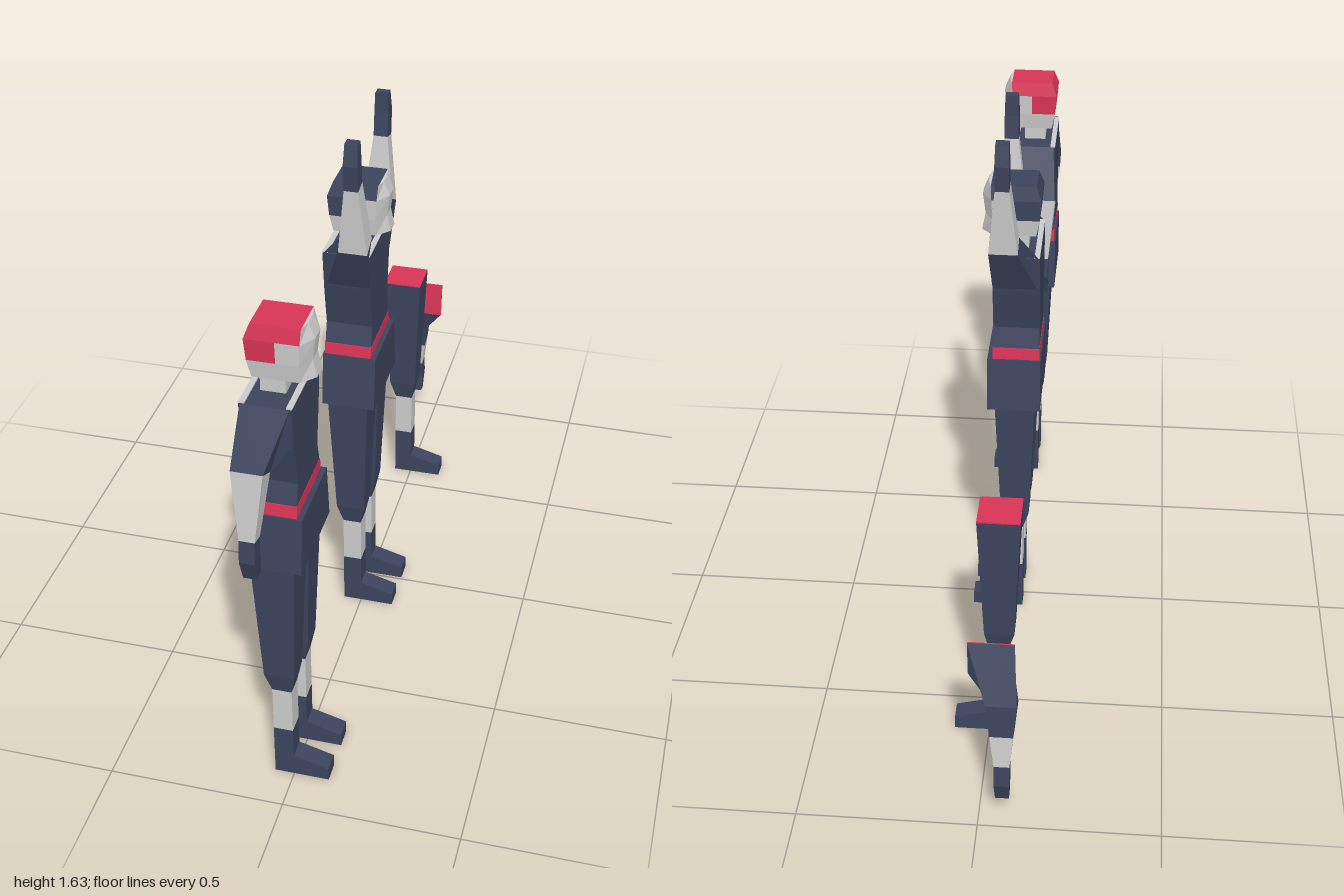
import * as THREE from 'three';

const paint = (name, color) => {
  const m = new THREE.MeshStandardMaterial({ color });
  m.name = name;
  return m;
};

// Closed flat-faced solid through rings of equal point count
function loft(rings) {
  const n = rings[0].length, tris = [];
  for (let i = 0; i + 1 < rings.length; i++) {
    for (let j = 0; j < n; j++) {
      const k = (j + 1) % n, a = rings[i], b = rings[i + 1];
      tris.push([a[j], a[k], b[k]], [a[j], b[k], b[j]]);
    }
  }
  const first = rings[0], last = rings[rings.length - 1];
  for (let j = 1; j + 1 < n; j++) {
    tris.push([first[0], first[j + 1], first[j]], [last[0], last[j], last[j + 1]]);
  }
  // Turn all faces outward, whichever way the rings run
  let volume = 0;
  for (const [a, b, c] of tris) {
    volume += new THREE.Vector3(...a).dot(new THREE.Vector3(...b).cross(new THREE.Vector3(...c)));
  }
  if (volume < 0) tris.forEach(t => t.reverse());
  const g = new THREE.BufferGeometry();
  g.setAttribute('position', new THREE.Float32BufferAttribute(tris.flat(2), 3));
  g.computeVertexNormals();
  return g;
}

// Level rectangle
const rect = (y, x0, x1, z0, z1) => [[x0, y, z0], [x1, y, z0], [x1, y, z1], [x0, y, z1]];
// Rectangle slanted in the y-z plane, used along an arm
const slant = ([zA, yA, zB, yB, x0, x1], s) =>
  [[x0, yA, zA * s], [x1, yA, zA * s], [x1, yB, zB * s], [x0, yB, zB * s]];
const mixRow = (a, b, t) => a.map((v, i) => v + (b[i] - v) * t);

// Arm rows: shoulder, elbow, wrist, knuckles, fingertips
const ARM_DOWN = [
  [0.126, 1.265, 0.115, 1.15, -0.095, 0.03],
  [0.193, 1.11, 0.134, 1.08, -0.105, -0.022],
  [0.208, 0.91, 0.165, 0.9, -0.087, -0.045],
  [0.214, 0.845, 0.17, 0.845, -0.087, -0.045],
  [0.193, 0.78, 0.162, 0.785, -0.085, -0.047],
];
const ARM_UP = [
  [0.122, 1.265, 0.107, 1.15, -0.095, 0.033],
  [0.118, 1.325, 0.171, 1.297, -0.042, 0.04],
  [0.142, 1.505, 0.187, 1.495, -0.02, 0.02],
  [0.15, 1.57, 0.195, 1.57, -0.02, 0.02],
  [0.152, 1.63, 0.182, 1.63, -0.018, 0.018],
];

export function createModel() {
  const navy = paint('navy cloth', 0x3c435c);
  const red = paint('red', 0xd83456);
  const grey = paint('light grey skin', 0xcccccc);

  const add = (group, name, geometry, material) => {
    const m = new THREE.Mesh(geometry, material);
    m.name = name;
    group.add(m);
  };
  const makeGroup = (name, parent) => {
    const g = new THREE.Group();
    g.name = name;
    parent.add(g);
    return g;
  };

  // Sleeve, bare forearm and gloved hand; sleeveEnd is how far cloth covers the forearm
  function arm(parent, rows, s, sleeveEnd = 0) {
    const g = makeGroup(s > 0 ? 'rightArm' : 'leftArm', parent);
    const cuff = mixRow(rows[1], rows[2], sleeveEnd);
    const sleeve = sleeveEnd ? [rows[0], rows[1], cuff] : [rows[0], rows[1]];
    const ring = r => slant(r, s);
    add(g, 'sleeve', loft(sleeve.map(ring)), navy);
    add(g, 'forearm', loft([cuff, rows[2]].map(ring)), grey);
    add(g, 'hand', loft(rows.slice(2).map(ring)), navy);
    return g;
  }

  // Trouser leg, bare shin and boot, around its own z centre
  const bootShape = new THREE.Shape([
    [-0.055, 0], [0.1, 0], [0.1, 0.04], [0, 0.068], [0, 0.165], [-0.055, 0.165],
  ].map(p => new THREE.Vector2(...p)));
  function leg(parent, name, z) {
    const g = makeGroup(name, parent);
    g.position.z = z;
    add(g, 'trouserLeg', loft([
      rect(0.768, -0.09, 0.028, -0.058, 0.058),
      rect(0.37, -0.073, 0.012, -0.038, 0.038),
      rect(0.31, -0.055, 0, -0.028, 0.028),
    ]), navy);
    add(g, 'shin', loft([rect(0.31, -0.055, 0, -0.028, 0.028), rect(0.165, -0.055, 0, -0.028, 0.028)]), grey);
    const boot = new THREE.ExtrudeGeometry(bootShape, { depth: 0.056, bevelEnabled: false });
    boot.translate(0, 0, -0.028);
    add(g, 'boot', boot, navy);
    return g;
  }

  // Head rows: y, back x, temple x, nose x, half width
  function head(parent, hairMaterial) {
    const g = makeGroup('head', parent);
    const rows = [
      [1.45, -0.085, 0.042, 0.05, 0.056],
      [1.41, -0.1, 0.04, 0.067, 0.066],
      [1.35, -0.095, 0.037, 0.06, 0.064],
      [1.3, -0.085, 0.037, 0.07, 0.058],
    ];
    const skull = ([y, b, t, , w]) => rect(y, b, t, -w, w);
    const back = ([y, b, , , w]) => rect(y, b, -0.022, -w, w);
    const side = ([y, , t, , w]) => rect(y, -0.022, t, -w, w);
    const front = ([y, , t, f, w]) => [[t, y, -w], [f, y, -0.022], [f, y, 0.022], [t, y, w]];
    add(g, 'hairTop', loft(rows.slice(0, 2).map(skull)), hairMaterial);
    add(g, 'hairBack', loft(rows.slice(1, 3).map(back)), hairMaterial);
    add(g, 'cheeks', loft(rows.slice(1, 3).map(side)), grey);
    add(g, 'jaw', loft(rows.slice(2).map(skull)), grey);
    add(g, 'face', loft(rows.map(front)), grey);
    add(g, 'neck', loft([rect(1.31, -0.065, 0, -0.055, 0.055), rect(1.26, -0.065, 0, -0.055, 0.055)]), grey);
  }

  function figure(parent, name, z, armRows, hairMaterial) {
    const g = makeGroup(name, parent);
    g.position.z = z;
    head(g, hairMaterial);
    // Shirt narrowing to the waist
    add(g, 'shirt', loft([
      [1.262, 0.122], [1.15, 0.11], [1.02, 0.088], [0.955, 0.105],
    ].map(([y, w]) => rect(y, -0.1, 0.034, -w, w))), navy);
    // Light edging along the top of the shirt, front and back
    for (const [x0, x1] of [[-0.1, -0.085], [0.019, 0.034]]) {
      add(g, 'collarEdge', loft([rect(1.262, x0, x1, -0.12, 0.12), rect(1.266, x0, x1, -0.12, 0.12)]), grey);
    }
    add(g, 'belt', loft([rect(0.96, -0.101, 0.035, -0.107, 0.107), rect(0.92, -0.101, 0.035, -0.112, 0.112)]), red);
    add(g, 'tunicSkirt', loft([rect(0.926, -0.105, 0.05, -0.116, 0.116), rect(0.765, -0.105, 0.05, -0.134, 0.134)]), navy);
    for (const s of [1, -1]) {
      arm(g, armRows, s);
      leg(g, s > 0 ? 'rightLeg' : 'leftLeg', s * 0.067);
    }
  }

  const model = new THREE.Group();
  model.name = 'figuresAndLimbs';
  figure(model, 'standingFigure', 0.787, ARM_DOWN, red);
  figure(model, 'figureWithRaisedArms', 0.031, ARM_UP, navy);

  // Separate leg with a red cut face
  const looseLeg = leg(model, 'looseLeg', -0.603);
  add(looseLeg, 'legCut', loft([rect(0.768, -0.09, 0.028, -0.058, 0.058), rect(0.772, -0.09, 0.028, -0.058, 0.058)]), red);

  // Separate arm with a longer sleeve and a red cut face
  const looseArm = arm(model, ARM_DOWN, -1, 0.5);
  looseArm.name = 'looseArm';
  looseArm.position.set(0, -0.695, -0.785);
  const cut = slant(ARM_DOWN[0], -1);
  add(looseArm, 'armCut', loft([cut, cut.map(([x, y, z]) => [x, y, z + 0.004])]), red);

  return model;
}
